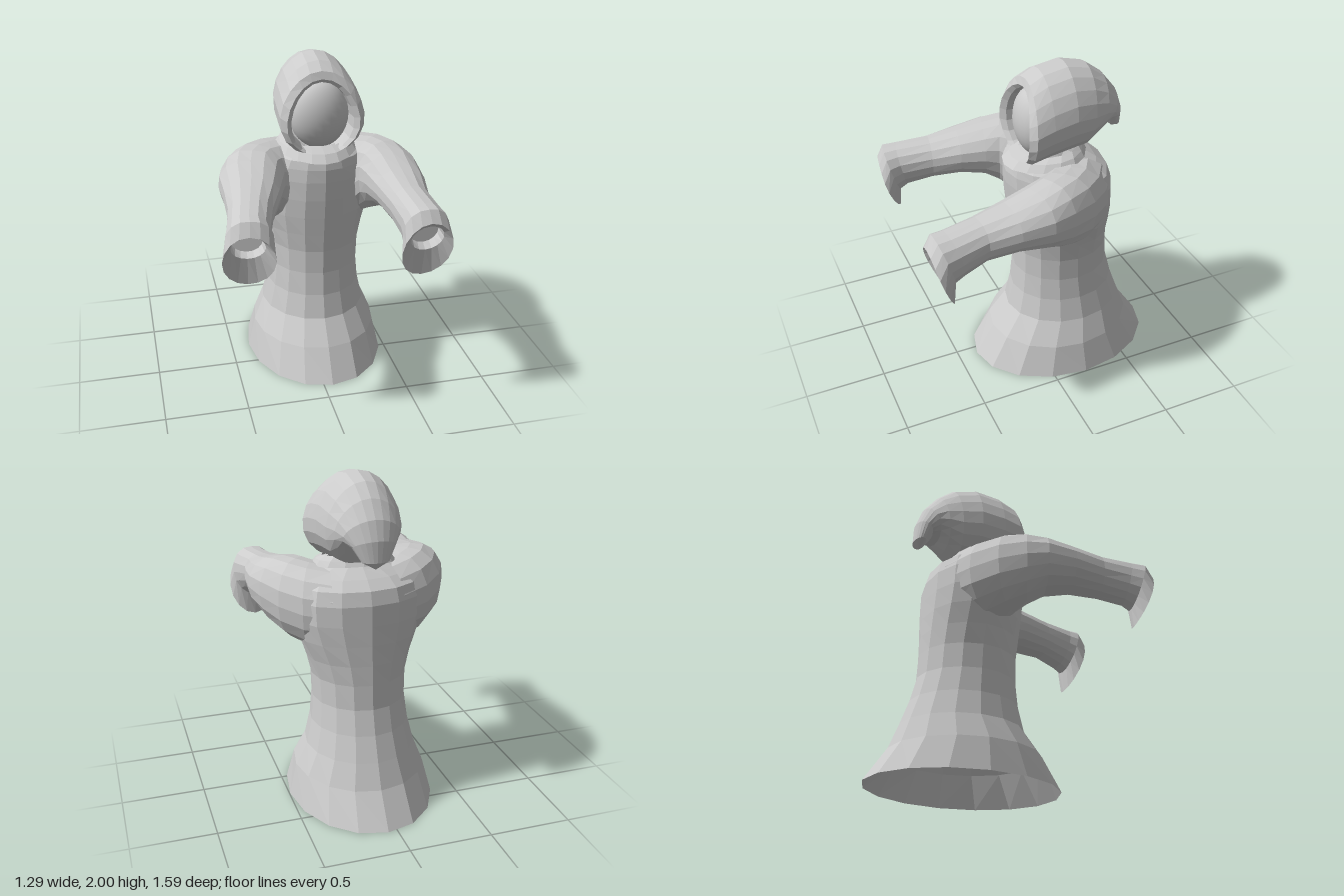
import * as THREE from 'three';

const MID = 0.055; // the figure stands slightly to its left
const V = (x, y, z) => new THREE.Vector3(x, y, z);
const cloth = new THREE.MeshStandardMaterial({ color: 0xcccccc, side: THREE.DoubleSide, flatShading: true });
const smooth = new THREE.MeshStandardMaterial({ color: 0xcccccc });

// Closed ring of n points: c + a*cos + b*sin.
// egg narrows the +a end, square fills out the +b half, bow shifts the two a ends along z.
function ring(n, c, a, b, { egg = 0, square = 0, bow = 0 } = {}) {
  return Array.from({ length: n }, (_, j) => {
    const t = (j / n) * Math.PI * 2, co = Math.cos(t), si = Math.sin(t);
    const fill = 1 + square * Math.max(si, 0) * Math.abs(co);
    const p = c.clone().addScaledVector(a, co * fill).addScaledVector(b, si * fill * (1 - egg * co));
    p.z += bow * co * co;
    return p;
  });
}

// Skin through rings, optionally closed to a tip point at the end
function loft(name, rings, tip) {
  const n = rings[0].length, pts = rings.flat(), idx = [];
  for (let i = 0; i < rings.length - 1; i++) {
    for (let j = 0; j < n; j++) {
      const k = (j + 1) % n, p = i * n, q = p + n;
      idx.push(p + j, p + k, q + j, p + k, q + k, q + j);
    }
  }
  if (tip) {
    const p = (rings.length - 1) * n;
    for (let j = 0; j < n; j++) idx.push(p + j, p + (j + 1) % n, pts.length);
    pts.push(tip);
  }
  const g = new THREE.BufferGeometry().setFromPoints(pts);
  g.setIndex(idx);
  g.computeVertexNormals();
  const mesh = new THREE.Mesh(g, cloth);
  mesh.name = name;
  return mesh;
}

// Robe: [y, half width, front z, back z, narrowing of the chest], open at the hem
function robe() {
  const rows = [
    [0, 0.44, 0.38, -0.795, 0], [0.2, 0.395, 0.26, -0.66, 0], [0.35, 0.33, 0.15, -0.6, 0],
    [0.5, 0.295, 0.115, -0.545, 0], [0.65, 0.28, 0.1, -0.505, 0], [0.8, 0.285, 0.1, -0.495, 0],
    [0.92, 0.312, 0.115, -0.49, 0.05], [1.04, 0.35, 0.13, -0.485, 0.12], [1.16, 0.37, 0.145, -0.48, 0.2],
    [1.28, 0.37, 0.155, -0.475, 0.22], [1.36, 0.35, 0.155, -0.45, 0.22], [1.41, 0.31, 0.145, -0.385, 0.18],
    [1.45, 0.23, 0.09, -0.32, 0.1], [1.47, 0.17, 0.02, -0.29, 0],
  ];
  return loft('robe', rows.map(([y, w, f, b, egg]) =>
    ring(16, V(MID, y, (f + b) / 2), V(0, 0, (f - b) / 2), V(w, 0, 0), { egg })));
}

// Collar: tilted band dipping to a point under the chin
function collar() {
  const rows = [[0.165, 1.385, -0.33, 1.45, 0.25], [0.12, 1.43, -0.31, 1.48, 0.225], [0.06, 1.45, -0.29, 1.51, 0.19]];
  return loft('collar', rows.map(([zf, yf, zb, yb, w]) =>
    ring(16, V(MID, (yf + yb) / 2 + 0.02, (zf + zb) / 2), V(0, (yf - yb) / 2, (zf - zb) / 2), V(w, 0, 0), { egg: 0.15 })));
}

// Sleeve row: [inner x, inner z, outer x, outer z, bottom y, top y, forward tilt, bow, square]
function sleeveRing(side, [xi, zi, xo, zo, yb, yt, tilt = 0, bow = 0, square = 0.12]) {
  const p = V(xi, 0, zi), q = V(xo, 0, zo);
  const c = p.clone().add(q).multiplyScalar(0.5).setY((yb + yt) / 2);
  const a = q.sub(p).multiplyScalar(0.5 * side);
  return ring(16, c, a, V(0, (yt - yb) / 2, tilt), { bow, square });
}

function arm(name, side, outerRows, liningRows) {
  const g = new THREE.Group();
  g.name = name;
  const rings = outerRows.map(r => sleeveRing(side, r));
  const inner = liningRows.map(r => sleeveRing(side, r));
  const end = inner[inner.length - 1];
  const centre = end.reduce((s, p) => s.add(p), V(0, 0, 0)).divideScalar(end.length);
  g.add(loft('sleeve', rings));
  g.add(loft('cuffLining', [rings[rings.length - 1], ...inner], centre));
  return g;
}

// Hood row: [top z, top y, bottom z, bottom y, half width, bow]
function hoodRing([zt, yt, zb, yb, w, bow = 0]) {
  return ring(20, V(MID, (yt + yb) / 2, (zt + zb) / 2),
    V(0, (yt - yb) / 2, (zt - zb) / 2), V(w, 0, 0), { egg: 0.12, bow });
}

function hood() {
  const g = new THREE.Group();
  g.name = 'hood';
  const rim = [0.085, 1.885, 0.115, 1.43, 0.218, -0.04];
  g.add(loft('hoodShell', [
    rim, [0.05, 1.93, 0.075, 1.42, 0.253, -0.02], [-0.05, 1.975, -0.04, 1.44, 0.252],
    [-0.2, 2, -0.18, 1.46, 0.245], [-0.34, 1.965, -0.29, 1.47, 0.222],
    [-0.44, 1.89, -0.36, 1.54, 0.195], [-0.52, 1.79, -0.41, 1.6, 0.165],
    [-0.56, 1.68, -0.455, 1.61, 0.125], [-0.568, 1.56, -0.49, 1.56, 0.08],
  ].map(hoodRing), V(MID, 1.515, -0.53)));
  g.add(loft('hoodLining', [
    rim, [0.06, 1.865, 0.08, 1.435, 0.188, -0.03], [-0.04, 1.86, -0.03, 1.445, 0.178],
  ].map(hoodRing)));
  return g;
}

export function createModel() {
  const model = new THREE.Group();
  model.name = 'hoodedFigure';
  model.add(robe(), collar(), hood());

  // Smooth face inside the hood
  const face = new THREE.Mesh(new THREE.SphereGeometry(1, 24, 16), smooth);
  face.name = 'face';
  face.scale.set(0.178, 0.208, 0.12);
  face.position.set(MID, 1.655, -0.03);
  model.add(face);

  // Left arm: reaches forward, with a drooping cuff
  model.add(arm('leftArm', 1, [
    [0.18, 0.05, 0.27, -0.43, 0.97, 1.45], [0.23, 0.06, 0.42, -0.33, 0.97, 1.465],
    [0.255, 0.075, 0.53, -0.2, 1, 1.475], [0.27, 0.1, 0.605, -0.04, 1.05, 1.472],
    [0.285, 0.18, 0.64, 0.1, 1.1, 1.445], [0.31, 0.32, 0.625, 0.29, 1.13, 1.4],
    [0.345, 0.5, 0.592, 0.47, 1.11, 1.36], [0.36, 0.66, 0.61, 0.63, 1.06, 1.335, 0.03],
    [0.355, 0.71, 0.62, 0.7, 1.03, 1.33, 0.045], [0.345, 0.73, 0.64, 0.73, 0.89, 1.265, 0.065, 0.02, 0],
  ], [
    [0.4, 0.73, 0.59, 0.73, 1.06, 1.235, 0.035, 0, 0], [0.405, 0.66, 0.585, 0.65, 1.09, 1.24, 0, 0, 0],
  ]));

  // Right arm: slightly closer in, cuff held a little higher
  model.add(arm('rightArm', -1, [
    [-0.07, 0.05, -0.16, -0.43, 0.97, 1.45], [-0.12, 0.06, -0.34, -0.33, 0.97, 1.468],
    [-0.15, 0.075, -0.47, -0.2, 1.01, 1.478], [-0.175, 0.1, -0.545, -0.05, 1.06, 1.478],
    [-0.2, 0.18, -0.575, 0.08, 1.12, 1.455], [-0.25, 0.32, -0.572, 0.26, 1.15, 1.42],
    [-0.32, 0.48, -0.575, 0.44, 1.13, 1.38], [-0.37, 0.66, -0.605, 0.6, 1.09, 1.36, 0.03],
    [-0.365, 0.72, -0.625, 0.67, 1.06, 1.355, 0.045], [-0.36, 0.74, -0.648, 0.69, 0.94, 1.28, 0.06, 0.02, 0],
  ], [
    [-0.41, 0.725, -0.6, 0.7, 1.11, 1.265, 0.03, 0, 0], [-0.415, 0.65, -0.59, 0.62, 1.13, 1.27, 0, 0, 0],
  ]));
  return model;
}
